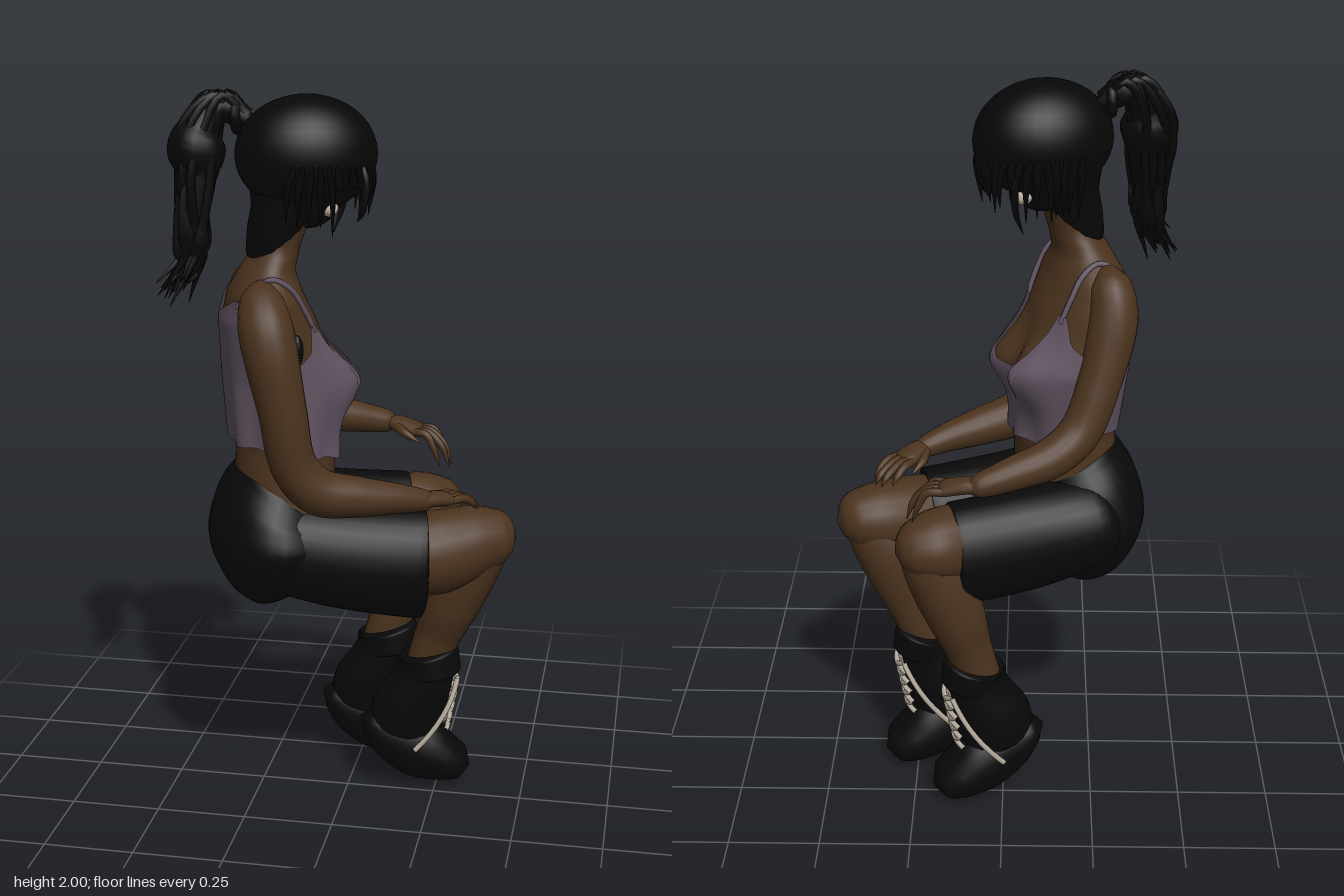
import * as THREE from 'three';

const mat = (name, color, side = THREE.FrontSide) => {
  const m = new THREE.MeshStandardMaterial({ color, side });
  m.name = name;
  return m;
};
const V = (x, y, z) => new THREE.Vector3(x, y, z);
const YAW = 0.35;                                   // the body is turned away from +x
const F = V(Math.cos(YAW), 0, -Math.sin(YAW));      // forward
const S = V(Math.sin(YAW), 0, Math.cos(YAW));       // towards the right hand
const UP = V(0, 1, 0);

// Surface wrapped around u, open along v
function wrapped(fn, nu, nv) {
  const pos = [], idx = [];
  for (let j = 0; j <= nv; j++) {
    for (let i = 0; i < nu; i++) {
      pos.push(...fn(i / nu, j / nv).toArray());
      if (j === nv) continue;
      const a = j * nu + i, b = j * nu + (i + 1) % nu;
      idx.push(a, b, a + nu, b, b + nu, a + nu);
    }
  }
  const g = new THREE.BufferGeometry();
  g.setAttribute('position', new THREE.Float32BufferAttribute(pos, 3));
  g.setIndex(idx);
  g.computeVertexNormals();
  return g;
}

// Tapering limb through [x, y, z, radius, radius along ref]
function limb(sections, sides = 18, steps = 30, ref = S) {
  const path = new THREE.CatmullRomCurve3(sections.map(p => V(p[0], p[1], p[2])));
  const radii = new THREE.CatmullRomCurve3(sections.map(p => V(p[3], p[4] ?? p[3], 0)));
  return wrapped((u, v) => {
    const t = path.getTangent(v), r = radii.getPoint(v);
    const b = ref.clone().addScaledVector(t, -ref.dot(t)).normalize();
    const n = b.clone().cross(t), a = u * Math.PI * 2;
    return path.getPoint(v)
      .addScaledVector(n, Math.max(r.x, 0.0008) * Math.cos(a))
      .addScaledVector(b, Math.max(r.y, 0.0008) * Math.sin(a));
  }, sides, steps);
}

// Torso sections: y, centre x, centre z, half depth, half width
const TORSO = [
  [0.84, -0.17, 0.05, 0.14, 0.18], [1.05, -0.165, 0.045, 0.135, 0.155],
  [1.24, -0.18, 0.03, 0.145, 0.178], [1.4, -0.207, 0.055, 0.124, 0.187],
  [1.47, -0.212, 0.07, 0.1, 0.18], [1.53, -0.205, 0.075, 0.075, 0.11],
  [1.59, -0.18, 0.07, 0.063, 0.078], [1.72, -0.135, 0.065, 0.06, 0.07]];
function torsoPoint(y, th, off = 0) {
  let k = 0;
  while (k < TORSO.length - 2 && y > TORSO[k + 1][0]) k++;
  const A = TORSO[k], B = TORSO[k + 1], t = (y - A[0]) / (B[0] - A[0]);
  const [cx, cz, a, b] = [1, 2, 3, 4].map(i => A[i] + (B[i] - A[i]) * t);
  const side = -(b + off) * Math.sin(th);
  let fwd = (a + off) * Math.cos(th);
  if (Math.cos(th) > 0) {
    const bust = Math.exp(-(((Math.abs(side) - 0.085) / 0.06) ** 2));
    fwd += 0.066 * bust * Math.exp(-(((y - 1.23) / 0.085) ** 2)) * Math.min(1, Math.cos(th) * 2);
  }
  return V(cx, y, cz).addScaledVector(F, fwd).addScaledVector(S, side);
}

export function createModel() {
  const skin = mat('skin', 0x4b331e), cloth = mat('top fabric', 0x605361, THREE.DoubleSide);
  const hair = mat('hair', 0x070707), shortsMat = mat('shorts fabric', 0x090909);
  const leather = mat('boot leather', 0x080808), pale = mat('laces', 0xb4aa9c);
  const eyeMat = mat('eye', 0xc9b8a8);
  const model = new THREE.Group();
  model.name = 'seatedFigure';
  const add = (name, geo, m, parent = model) => {
    const o = new THREE.Mesh(geo, m);
    o.name = name;
    parent.add(o);
    return o;
  };
  const ball = (name, c, r, m) => {
    const o = add(name, new THREE.SphereGeometry(1, 32, 20), m);
    o.position.set(...c);
    o.scale.set(...r);
    o.rotation.y = YAW;
  };
  let seed = 7;
  const rnd = () => (seed = (seed * 16807) % 2147483647) / 2147483647 - 0.5;

  // Torso, top and straps
  add('torso', wrapped((u, v) => torsoPoint(0.84 + 0.88 * v, u * Math.PI * 2), 48, 54), skin);
  const neckline = th => {
    const d = Math.abs(Math.atan2(Math.sin(th), Math.cos(th))) * 180 / Math.PI;
    const keys = [[0, 1.225], [15, 1.235], [27, 1.28], [36, 1.4], [45, 1.4], [58, 1.33], [75, 1.3], [100, 1.31],
      [130, 1.43], [145, 1.47], [180, 1.42]];
    const i = Math.max(1, keys.findIndex(k => k[0] >= d));
    return THREE.MathUtils.mapLinear(d, keys[i - 1][0], keys[i][0], keys[i - 1][1], keys[i][1]);
  };
  add('tankTop', wrapped((u, v) => {
    const th = u * Math.PI * 2;
    const low = 1.045 - 0.025 * Math.cos(th) + 0.008 * Math.sin(th * 5);
    return torsoPoint(low + (neckline(th) - low) * v, th, 0.009 + 0.006 * (1 - v) * (1 + Math.sin(th * 9)));
  }, 90, 30), cloth);
  for (const s of [1, -1]) {
    const pts = [[1.38, 40], [1.44, 43], [1.5, 58], [1.525, 90], [1.5, 122], [1.45, 143]]
      .map(([y, d]) => torsoPoint(y, s * d * Math.PI / 180, 0.006));
    add('strap', new THREE.TubeGeometry(new THREE.CatmullRomCurve3(pts), 24, 0.008, 6), cloth);
  }
  ball('armpitGap', [-0.092, 1.35, 0.232], [0.018, 0.042, 0.02], hair);

  // Head, eyes and hair cap
  ball('head', [-0.1, 1.765, 0.055], [0.105, 0.125, 0.1], hair);
  ball('hairCap', [-0.1, 1.835, 0.055], [0.188, 0.153, 0.147], hair);
  add('nape', limb([[-0.24, 1.51, 0.08, 0.002], [-0.215, 1.56, 0.075, 0.05, 0.07], [-0.19, 1.62, 0.072, 0.07, 0.084],
    [-0.17, 1.68, 0.07, 0.078, 0.092], [-0.15, 1.76, 0.06, 0.11]], 24), hair);
  ball('rightEye', [-0.033, 1.7, 0.09], [0.024, 0.023, 0.024], eyeMat);
  ball('leftEye', [-0.05, 1.7, -0.018], [0.023, 0.023, 0.023], eyeMat);

  // Fringe and side locks merging out of the hair cap, parted beside the right eye
  for (let i = 0; i < 28; i++) {
    const th = -1.9 + 3.8 * i / 27, lean = 0.25 * rnd();
    const at = (k, y, a) => V(-0.1, y, 0.055).addScaledVector(F, 0.186 * k * Math.cos(a))
      .addScaledVector(S, -0.142 * k * Math.sin(a)).toArray();
    const parted = th < -0.5 && th > -1.3;
    const end = parted ? 1.755 : (Math.abs(th) > 1 ? 1.65 : 1.685) + 0.06 * rnd();
    add('hairLock', limb([[...at(0.8, 1.84, th), 0.006, 0.02], [...at(0.91, 1.8, th), 0.01, 0.026],
      [...at(0.94, 1.765, th + lean / 2), 0.01, 0.022], [...at(0.88 + 0.1 * rnd(), end, th + lean), 0.001]], 6, 14), hair);
  }
  add('longSideLock', limb([[-0.05, 1.82, -0.07, 0.004], [-0.03, 1.76, -0.085, 0.012], [-0.03, 1.68, -0.08, 0.009],
    [-0.05, 1.61, -0.06, 0.001]], 6, 16), hair);
  add('eyeLock', limb([[0.05, 1.83, 0.09, 0.006], [0.062, 1.77, 0.092, 0.012, 0.025], [0.055, 1.7, 0.09, 0.01, 0.025],
    [0.04, 1.665, 0.08, 0.001]], 8, 16), hair);

  // Ponytail with loose wisps
  const tail = [[-0.25, 1.92, 0.08, 0.03], [-0.32, 1.955, 0.085, 0.042], [-0.37, 1.9, 0.11, 0.055],
    [-0.375, 1.79, 0.135, 0.055], [-0.38, 1.67, 0.16, 0.04], [-0.38, 1.57, 0.18, 0.03], [-0.42, 1.49, 0.22, 0.002]];
  add('ponytail', limb(tail, 14, 36), hair);
  const tie = add('hairTie', new THREE.TorusGeometry(0.035, 0.014, 8, 20), hair);
  tie.position.set(-0.275, 1.93, 0.08);
  tie.rotation.y = Math.PI / 2;
  for (let i = 0; i < 18; i++) {
    const dx = 0.12 * rnd(), dz = 0.12 * rnd();
    add('ponytailWisp', limb(tail.map(([x, y, z], k) => {
      const w = [0, 0.5, 1, 1, 0.7, 0.6, 0.8][k];
      return [x + dx * w + 0.025 * rnd(), y + (k === 1 ? 0.03 : 0) + (k > 3 ? 0.07 * rnd() : 0), z + dz * w + 0.03 * rnd(),
        k === 6 ? 0.001 : 0.012];
    }), 6, 24), hair);
  }

  // Arms
  add('rightArm', limb([[-0.2, 1.515, 0.16, 0.01], [-0.185, 1.47, 0.225, 0.06], [-0.16, 1.39, 0.272, 0.073],
    [-0.12, 1.2, 0.283, 0.064], [-0.095, 1.05, 0.265, 0.062], [-0.04, 0.975, 0.24, 0.064], [0.06, 0.95, 0.195, 0.056],
    [0.16, 0.935, 0.145, 0.042], [0.23, 0.92, 0.105, 0.03], [0.25, 0.915, 0.09, 0.015]], 18, 48), skin);
  add('leftArm', limb([[-0.265, 1.515, -0.02, 0.01], [-0.28, 1.47, -0.07, 0.057], [-0.285, 1.39, -0.1, 0.067],
    [-0.25, 1.23, -0.155, 0.058], [-0.2, 1.11, -0.195, 0.057], [-0.13, 1.06, -0.24, 0.055], [-0.03, 1.035, -0.285, 0.046],
    [0.06, 1.015, -0.318, 0.033], [0.09, 1.01, -0.32, 0.015]], 18, 48), skin);

  // Hands: flat palm, four fingers and a thumb
  function hand(name, wrist, dir, drop, curl, thumbSide) {
    const g = new THREE.Group();
    g.name = name;
    model.add(g);
    const d = dir.clone().normalize(), w = UP.clone().cross(d).normalize();
    const at = (l, s, y) => wrist.clone().addScaledVector(d, l).addScaledVector(w, s)
      .add(V(0, y - drop * l, 0)).toArray();
    add('palm', limb([[...at(-0.02, 0, 0), 0.02, 0.026], [...at(0.02, 0, 0.003), 0.022, 0.034],
      [...at(0.07, 0, 0), 0.02, 0.04], [...at(0.1, 0, -0.004), 0.001]], 14, 18, w), skin, g);
    for (let i = 0; i < 4; i++) {
      const s = (i - 1.5) * 0.02, len = [0.165, 0.185, 0.185, 0.165][i] - curl * 0.15;
      add('finger', limb([[...at(0.07, s, 0), 0.012], [...at(0.11, s * 1.1, 0.004), 0.0115],
        [...at(len - 0.02, s * 1.15, -curl * 0.35), 0.01], [...at(len, s * 1.1, -curl), 0.001]], 8, 14, w), skin, g);
    }
    add('thumb', limb([[...at(0.01, thumbSide * 0.02, 0), 0.015], [...at(0.05, thumbSide * 0.045, -0.005), 0.013],
      [...at(0.1, thumbSide * 0.05, -0.02), 0.001]], 8, 12, w), skin, g);
  }
  hand('rightHand', V(0.232, 0.92, 0.105), V(0.64, 0, -0.77), 0.12, 0.03, 1);
  hand('leftHand', V(0.08, 1.012, -0.315), V(0.95, 0, 0.2), 0.18, 0.08, -1);

  // Shorts, with the waistband dipping at the front
  add('shortsSeat', limb([[-0.13, 0.61, 0.05, 0.002], [-0.155, 0.645, 0.05, 0.11, 0.16], [-0.19, 0.71, 0.05, 0.155, 0.225],
    [-0.203, 0.79, 0.05, 0.178, 0.25], [-0.195, 0.87, 0.048, 0.165, 0.225], [-0.175, 0.925, 0.046, 0.146, 0.185],
    [-0.165, 0.945, 0.045, 0.14, 0.168]], 32), shortsMat);
  add('shortsRightLeg', limb([[-0.32, 0.81, 0.17, 0.01], [-0.22, 0.8, 0.15, 0.13, 0.135], [0, 0.75, 0.1, 0.15, 0.13],
    [0.215, 0.72, 0.045, 0.158, 0.122], [0.225, 0.72, 0.042, 0.04]], 28), shortsMat);
  add('shortsLeftLeg', limb([[-0.33, 0.81, -0.05, 0.01], [-0.24, 0.8, -0.09, 0.13], [-0.05, 0.765, -0.148, 0.148, 0.12],
    [0.135, 0.75, -0.205, 0.148, 0.112], [0.145, 0.75, -0.208, 0.04]], 28), shortsMat);

  // Legs
  add('rightThigh', limb([[0.1, 0.74, 0.08, 0.1], [0.25, 0.745, 0.025, 0.118, 0.108], [0.35, 0.768, -0.025, 0.1],
    [0.42, 0.773, -0.052, 0.078], [0.45, 0.771, -0.062, 0.045], [0.463, 0.77, -0.066, 0.001]]), skin);
  add('leftThigh', limb([[0, 0.76, -0.17, 0.1], [0.12, 0.78, -0.2, 0.112, 0.1], [0.19, 0.79, -0.238, 0.1],
    [0.25, 0.79, -0.262, 0.073], [0.275, 0.787, -0.269, 0.042], [0.287, 0.785, -0.272, 0.001]]), skin);
  add('rightShin', limb([[0.36, 0.82, -0.03, 0.001], [0.365, 0.76, -0.035, 0.08], [0.325, 0.67, -0.04, 0.09],
    [0.285, 0.57, -0.042, 0.083], [0.25, 0.47, -0.05, 0.066], [0.215, 0.36, -0.05, 0.06]]), skin);
  add('leftShin', limb([[0.19, 0.835, -0.245, 0.001], [0.197, 0.77, -0.245, 0.08], [0.16, 0.67, -0.24, 0.088],
    [0.125, 0.57, -0.238, 0.08], [0.095, 0.47, -0.23, 0.065], [0.06, 0.35, -0.22, 0.06]]), skin);

  // Boots with heels raised, and criss-cross laces
  for (const [name, dx, dy, dz] of [['rightBoot', 0, 0, 0], ['leftBoot', -0.145, -0.005, -0.17]]) {
    const boot = new THREE.Group();
    boot.name = name;
    boot.position.set(dx, dy, dz);
    model.add(boot);
    add('shaft', limb([[0.222, 0.385, -0.05, 0.08], [0.208, 0.33, -0.05, 0.086, 0.082],
      [0.172, 0.24, -0.05, 0.108, 0.082], [0.15, 0.175, -0.05, 0.098, 0.075], [0.135, 0.13, -0.05, 0.001]], 24), leather, boot);
    add('cuff', limb([[0.22, 0.422, -0.05, 0.056], [0.222, 0.415, -0.05, 0.089, 0.086], [0.231, 0.36, -0.05, 0.088, 0.086],
      [0.232, 0.35, -0.05, 0.07]].reverse(), 24), leather, boot);
    add('foot', limb([[0.032, 0.21, -0.03, 0.001], [0.06, 0.198, -0.033, 0.04, 0.05], [0.12, 0.162, -0.042, 0.08, 0.075],
      [0.2, 0.112, -0.065, 0.094, 0.085], [0.265, 0.075, -0.085, 0.072, 0.084], [0.315, 0.054, -0.098, 0.049, 0.065],
      [0.342, 0.044, -0.104, 0.001]], 24, 36), leather, boot);
    const lacePoint = (k, s) => V(0.266 + 0.031 * k, 0.175 + 0.165 * k, -0.08).addScaledVector(S, s * 0.036);
    const lace = (a, b, c) => add('lace', new THREE.TubeGeometry(new THREE.QuadraticBezierCurve3(a, b, c), 8, 0.0075, 6), pale, boot);
    for (let i = 0; i < 5; i++) for (const s of [1, -1]) {
      const a = lacePoint(i / 5, s), b = lacePoint((i + 1) / 5, -s);
      lace(a, a.clone().lerp(b, 0.5).addScaledVector(F, 0.022), b);
    }
    for (const s of [1, -1]) {
      const mid = V(0.2, 0.24, -0.055);
      lace(lacePoint(1, s), mid.clone().addScaledVector(F, 0.07).addScaledVector(S, s * 0.09),
        V(0.17, 0.14, -0.05).addScaledVector(S, s * 0.086));
    }
  }
  return model;
}
